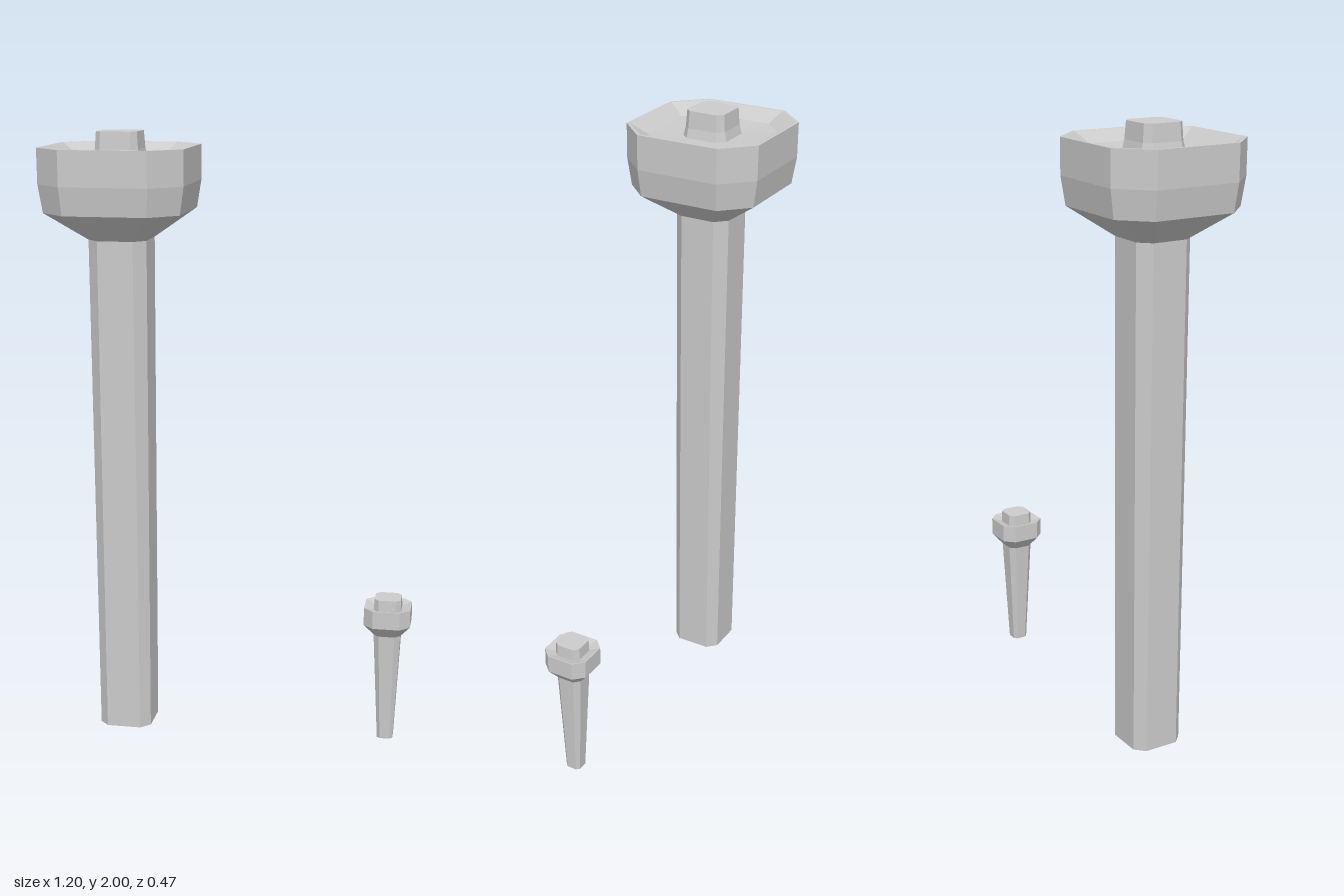
import * as THREE from 'three';

const material = new THREE.MeshStandardMaterial({ color: 0xcccccc, flatShading: true });

// Square ring with cut corners: half = half width, flat = half length of each main side.
function ring([half, flat, y]) {
  return [
    [half, flat], [flat, half], [-flat, half], [-half, flat],
    [-half, -flat], [-flat, -half], [flat, -half], [half, -flat],
  ].map(([x, z]) => [x, y, z]);
}

// Skins a list of rings, running along the surface from the bottom outward and up.
function skin(levels, { capBottom = false, capTop = false } = {}) {
  const rings = levels.map(ring);
  const pos = [];
  const tri = (a, b, c) => pos.push(...a, ...b, ...c);
  for (let i = 0; i < rings.length - 1; i++) {
    const lo = rings[i], hi = rings[i + 1];
    for (let j = 0; j < 8; j++) {
      const k = (j + 1) % 8;
      tri(lo[j], hi[j], hi[k]);
      tri(lo[j], hi[k], lo[k]);
    }
  }
  const first = rings[0], last = rings[rings.length - 1];
  for (let j = 1; j < 7; j++) {
    if (capBottom) tri(first[0], first[j], first[j + 1]);
    if (capTop) tri(last[0], last[j + 1], last[j]);
  }
  const geometry = new THREE.BufferGeometry();
  geometry.setAttribute('position', new THREE.Float32BufferAttribute(pos, 3));
  geometry.computeVertexNormals();
  return geometry;
}

function post(name, x, { shaft, head, knob }) {
  const group = new THREE.Group();
  group.name = name;
  group.position.x = x;
  const add = (part, levels, caps) => {
    const mesh = new THREE.Mesh(skin(levels, caps), material);
    mesh.name = part;
    group.add(mesh);
  };
  add('shaft', shaft, { capBottom: true });
  add('head', head);
  add('knob', knob, { capTop: true });
  return group;
}

export function createModel() {
  const model = new THREE.Group();
  model.name = 'posts';

  // Tall post: flared head with a recessed dish around the knob
  model.add(post('tallPost', -0.365, {
    shaft: [[0.087, 0.057, 0], [0.095, 0.058, 1.66]],
    head: [
      [0.095, 0.058, 1.66], [0.22, 0.135, 1.75], [0.234, 0.14, 1.84], [0.235, 0.14, 1.953],
      [0.226, 0.135, 1.953], [0.178, 0.11, 1.92], [0.077, 0.052, 1.915],
    ],
    knob: [[0.077, 0.052, 1.915], [0.07, 0.05, 1.945], [0.066, 0.048, 2]],
  }));

  // Short post: tapered peg with a shallow dish around the knob
  model.add(post('shortPost', 0.52, {
    shaft: [[0.026, 0.016, 0], [0.044, 0.026, 0.37]],
    head: [
      [0.044, 0.026, 0.37], [0.076, 0.044, 0.408], [0.076, 0.044, 0.467],
      [0.073, 0.043, 0.467], [0.045, 0.028, 0.457],
    ],
    knob: [[0.045, 0.028, 0.457], [0.043, 0.028, 0.495]],
  }));

  return model;
}
